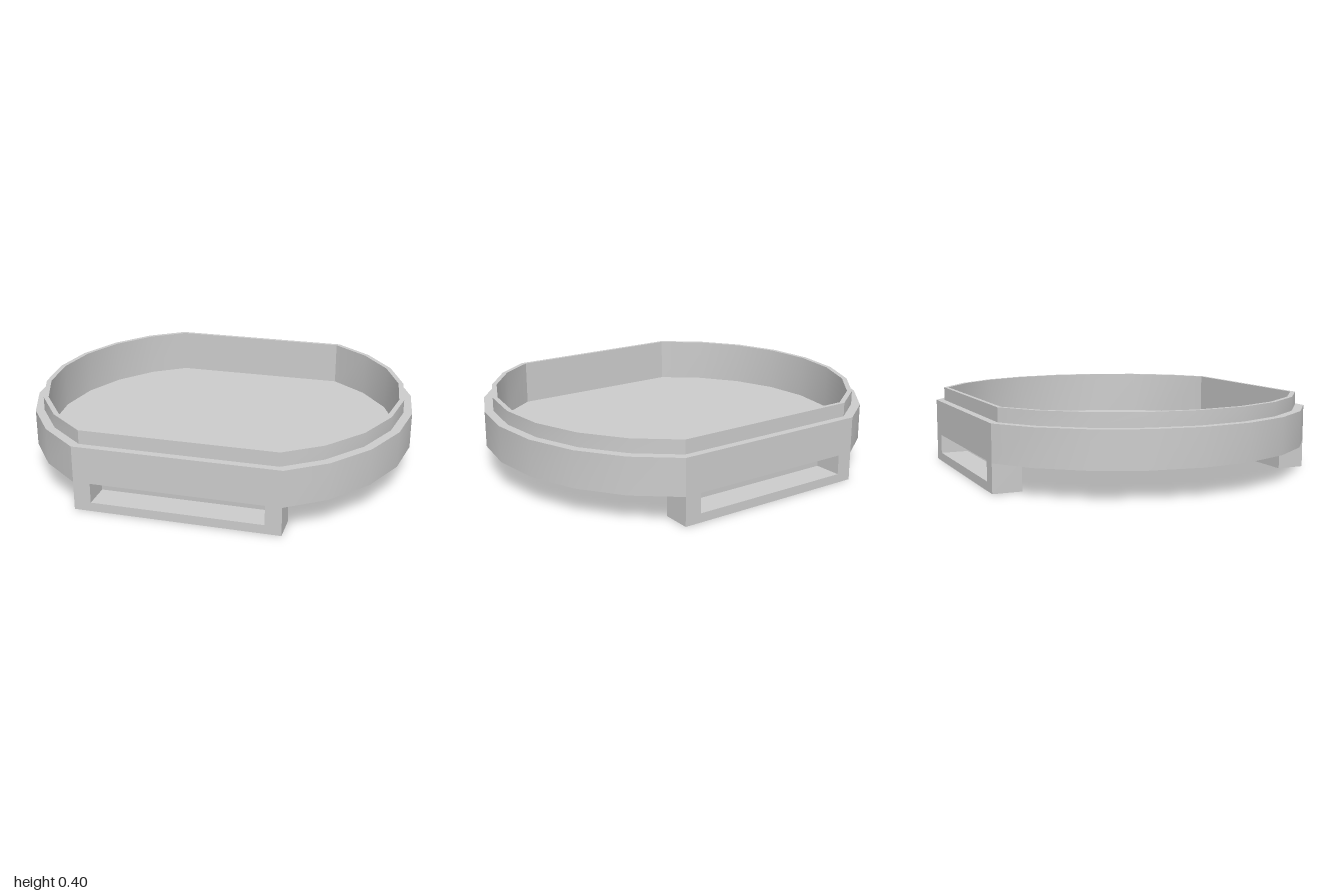
import * as THREE from 'three';
import { toCreasedNormals } from 'three/addons/utils/BufferGeometryUtils.js';

const material = new THREE.MeshStandardMaterial({ color: 0xcccccc });

// Round outline with two flats, at radius r; half of it is repeated by a half turn.
function outline(r) {
  const arc = (deg) => {
    const a = THREE.MathUtils.degToRad(deg);
    return [r * Math.cos(a), -r * Math.sin(a)];
  };
  const half = [...[0, 15, 30, 45, 60].map(arc), [-0.52 * r, -0.845 * r], ...[135, 150, 165].map(arc)];
  return [...half, ...half.map(([x, z]) => [-x, -z])];
}

// Skins a list of [radius, height] loops; radius 0 closes a face at its centre.
function loft(profile) {
  const pos = [];
  for (let k = 0; k < profile.length - 1; k++) {
    const [ra, ya] = profile[k], [rb, yb] = profile[k + 1];
    const A = outline(ra), B = outline(rb), n = A.length;
    for (let i = 0; i < n; i++) {
      const j = (i + 1) % n;
      const a0 = [A[i][0], ya, A[i][1]], a1 = [A[j][0], ya, A[j][1]];
      const b0 = [B[i][0], yb, B[i][1]], b1 = [B[j][0], yb, B[j][1]];
      if (ra > 0) pos.push(...a0, ...a1, ...b1);
      if (rb > 0) pos.push(...a0, ...b1, ...b0);
    }
  }
  const g = new THREE.BufferGeometry();
  g.setAttribute('position', new THREE.Float32BufferAttribute(pos, 3));
  return toCreasedNormals(g, 0.5);
}

// U-shaped strap loop hanging under a flat side.
function strapLoopGeometry() {
  const s = new THREE.Shape([
    [0, 0], [1.02, 0], [1.02, 0.145], [0.94, 0.145], [0.94, 0.045],
    [0.085, 0.045], [0.085, 0.145], [0, 0.145],
  ].map(([x, y]) => new THREE.Vector2(x, y)));
  const g = new THREE.ExtrudeGeometry(s, { depth: 0.146, bevelEnabled: false });
  g.translate(0, 0, -0.146);
  g.rotateY(Math.atan2(0.021, 1.02)); // follow the slightly skewed flat
  g.translate(-0.5, 0, 0.866);
  return g;
}

export function createModel() {
  const model = new THREE.Group();
  model.name = 'watchCase';

  // Open tray: underside, outer wall, ledge, raised lip, inner wall, floor
  const tray = new THREE.Mesh(loft([
    [0, 0.145], [1, 0.145], [1, 0.33], [0.955, 0.33],
    [0.955, 0.4], [0.93, 0.4], [0.93, 0.17], [0, 0.17],
  ]), material);
  tray.name = 'tray';
  model.add(tray);

  // Strap loops, front and back
  const loopGeometry = strapLoopGeometry();
  ['frontStrapLoop', 'backStrapLoop'].forEach((name, i) => {
    const strapLoop = new THREE.Mesh(loopGeometry, material);
    strapLoop.name = name;
    strapLoop.rotation.y = i * Math.PI;
    model.add(strapLoop);
  });

  return model;
}
